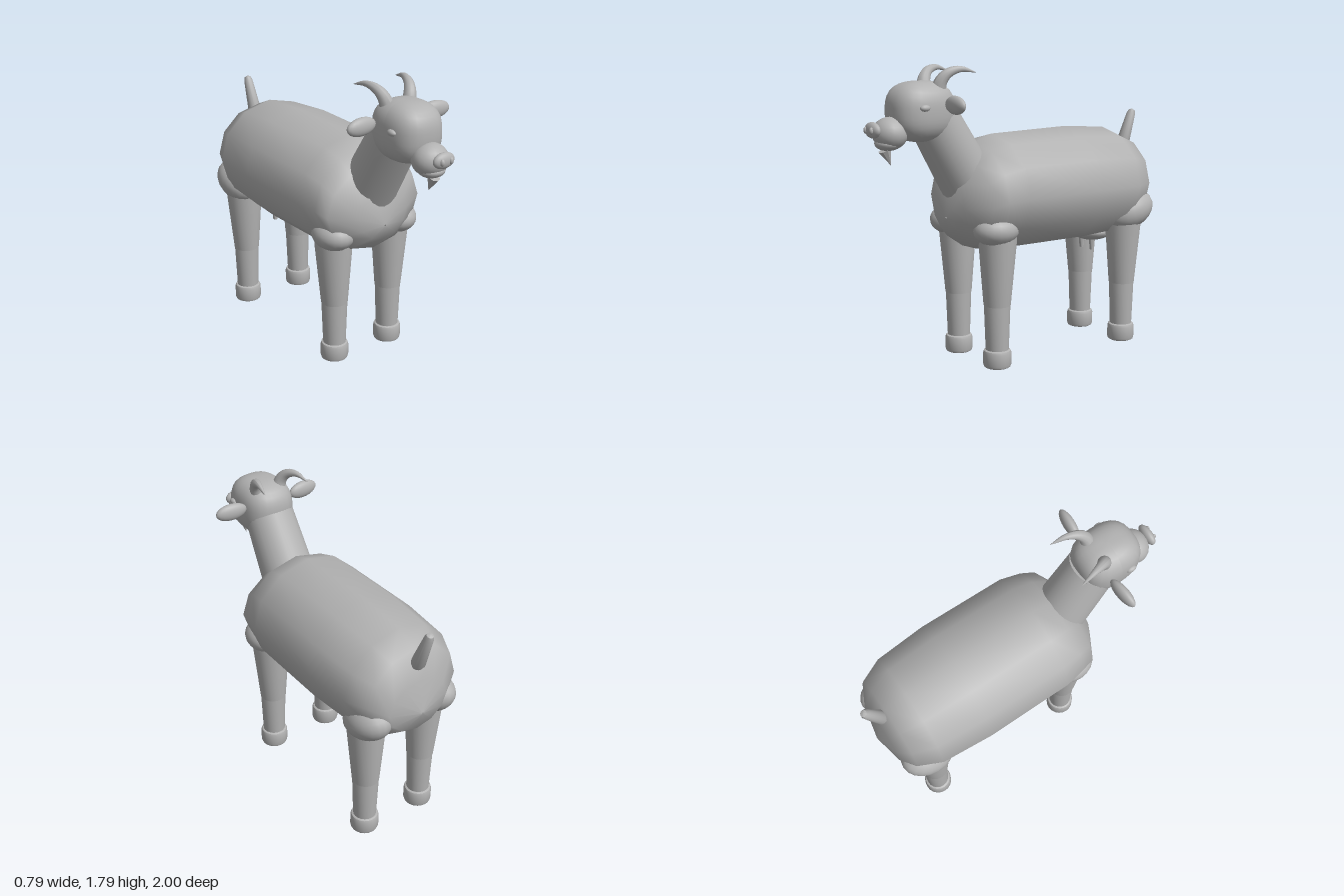
import * as THREE from 'three';
import { toCreasedNormals } from 'three/addons/utils/BufferGeometryUtils.js';

const coat = new THREE.MeshStandardMaterial({ color: 0xb2b2b2 });
coat.name = 'grey coat';

const V = (x, y, z) => new THREE.Vector3(x, y, z);

function add(parent, name, geometry, position) {
  const mesh = new THREE.Mesh(geometry, coat);
  mesh.name = name;
  if (position) mesh.position.copy(position);
  parent.add(mesh);
  return mesh;
}

function ellipsoid(parent, name, centre, radii, w = 20, h = 14) {
  const geo = new THREE.SphereGeometry(1, w, h);
  geo.scale(...radii);
  return add(parent, name, geo, centre);
}

// Turned shape standing on a point and pointing at another; profile is [radius, fraction of length]
function turned(parent, name, from, to, profile, sides = 20) {
  const axis = to.clone().sub(from);
  const length = axis.length();
  const pts = profile.map(([r, t]) => new THREE.Vector2(r, t * length));
  const geo = toCreasedNormals(new THREE.LatheGeometry(pts, sides), 0.7);
  const mesh = add(parent, name, geo, from);
  mesh.quaternion.setFromUnitVectors(V(0, 1, 0), axis.normalize());
  return mesh;
}

// Rings of equal point count, joined from front to back (or base to tip)
function loft(rings) {
  const n = rings[0].length, index = [];
  for (let i = 0; i < rings.length - 1; i++) {
    for (let k = 0; k < n; k++) {
      const a = i * n + k, b = i * n + (k + 1) % n;
      index.push(a, a + n, b, b, a + n, b + n);
    }
  }
  const geo = new THREE.BufferGeometry().setFromPoints(rings.flat());
  geo.setIndex(index);
  geo.computeVertexNormals();
  return geo;
}

function bodyGeometry() {
  // z, centre y, half width, half height
  const sections = [
    [0.48, 0.90, 0.005, 0.005], [0.465, 0.97, 0.17, 0.16], [0.37, 0.985, 0.335, 0.265],
    [0.28, 1.01, 0.362, 0.32], [0.15, 1.022, 0.39, 0.352], [-0.4, 1.025, 0.395, 0.36],
    [-0.72, 1.02, 0.37, 0.342], [-0.86, 1.02, 0.305, 0.28], [-0.92, 0.955, 0.2, 0.165],
    [-0.96, 0.92, 0.005, 0.005],
  ];
  return loft(sections.map(([z, cy, rx, ry]) => Array.from({ length: 12 }, (_, k) => {
    const a = k * Math.PI / 6;
    return V(Math.cos(a) * rx, cy + Math.sin(a) * ry, z);
  })));
}

// Ball pushed outwards into a soft box
function headGeometry() {
  const geo = new THREE.SphereGeometry(1, 28, 20);
  const p = geo.attributes.position, v = V(0, 0, 0);
  const e = 2.7;
  for (let i = 0; i < p.count; i++) {
    v.fromBufferAttribute(p, i);
    const s = (Math.abs(v.x) ** e + Math.abs(v.y) ** e + Math.abs(v.z) ** e) ** (-1 / e);
    v.multiplyScalar(s);
    p.setXYZ(i, v.x * 0.165, v.y * 0.173, v.z * 0.195);
  }
  geo.computeVertexNormals();
  return geo;
}

// Horn: tube whose radius shrinks towards the tip
function hornGeometry(side) {
  const curve = new THREE.CatmullRomCurve3([
    V(0.072, 1.64, 0.575), V(0.09, 1.705, 0.565), V(0.11, 1.75, 0.53),
    V(0.132, 1.772, 0.46), V(0.15, 1.752, 0.365),
  ].map((q) => q.setX(q.x * side)));
  const segs = 16, sides = 12;
  const geo = new THREE.TubeGeometry(curve, segs, 1, sides);
  const p = geo.attributes.position, v = V(0, 0, 0);
  for (let i = 0; i < p.count; i++) {
    const t = Math.floor(i / (sides + 1)) / segs;
    const c = curve.getPointAt(t);
    v.fromBufferAttribute(p, i).sub(c).multiplyScalar(0.045 * (1 - t) ** 0.85 + 0.001).add(c);
    p.setXYZ(i, v.x, v.y, v.z);
  }
  geo.computeVertexNormals();
  return geo;
}

function addLeg(parent, name, side, z) {
  const leg = new THREE.Group();
  leg.name = name;
  parent.add(leg);
  const x = 0.205 * side;
  turned(leg, 'hoof', V(x, 0, z), V(x, 0.11, z),
    [[0, 0], [0.07, 0], [0.08, 0.05], [0.085, 0.18], [0.085, 0.82], [0.08, 0.95], [0.07, 1], [0, 1]]);
  turned(leg, 'shin', V(x, 0.1, z), V(x, 0.385, z), [[0.069, 0], [0.079, 1]]);
  turned(leg, 'upperLeg', V(x, 0.38, z), V(x + 0.007 * side, 0.83, z),
    [[0, 0], [0.081, 0], [0.113, 0.84], [0.113, 1], [0, 1]]);
}

export function createModel() {
  const goat = new THREE.Group();
  goat.name = 'goat';

  add(goat, 'body', bodyGeometry());
  turned(goat, 'neck', V(0, 1.04, 0.29), V(0, 1.49, 0.565), [[0, 0], [0.17, 0], [0.15, 1], [0, 1]], 24);

  // Head and face
  const head = new THREE.Group();
  head.name = 'head';
  goat.add(head);
  add(head, 'skull', headGeometry(), V(0, 1.535, 0.65));
  ellipsoid(head, 'muzzle', V(0, 1.42, 0.85), [0.108, 0.094, 0.1]);
  ellipsoid(head, 'lowerLip', V(0, 1.365, 0.865), [0.08, 0.042, 0.075]);
  ellipsoid(head, 'nose', V(0, 1.445, 0.96), [0.072, 0.046, 0.031]);
  const beard = turned(head, 'beard', V(0, 1.33, 0.885), V(0, 1.24, 0.847),
    [[0, 0], [0.04, 0], [0.001, 1]], 8);
  beard.scale.x = 0.85;

  for (const side of [1, -1]) {
    const s = side > 0 ? 'left' : 'right';
    ellipsoid(head, s + 'Nostril', V(0.031 * side, 1.445, 0.984), [0.014, 0.021, 0.015], 12, 8);
    ellipsoid(head, s + 'Eye', V(0.16 * side, 1.565, 0.715), [0.02, 0.019, 0.032], 14, 10);
    const ear = ellipsoid(head, s + 'Ear', V(0.26 * side, 1.582, 0.58), [0.102, 0.053, 0.034]);
    ear.rotation.y = -0.08 * side;
    add(head, s + 'Horn', hornGeometry(side));

    // Legs with shoulders and haunches
    addLeg(goat, s + 'FrontLeg', side, 0.26);
    addLeg(goat, s + 'HindLeg', side, -0.725);
    ellipsoid(goat, s + 'Shoulder', V(0.232 * side, 0.84, 0.285), [0.122, 0.095, 0.143]);
    const haunch = ellipsoid(goat, s + 'Haunch', V(0.23 * side, 0.85, -0.76), [0.125, 0.115, 0.172]);
    haunch.rotation.x = 0.35;

    turned(goat, s + 'Teat', V(0.051 * side, 0.58, -0.605), V(0.051 * side, 0.67, -0.605),
      [[0, 0], [0.014, 0], [0.022, 1]], 12);
  }

  ellipsoid(goat, 'udder', V(0, 0.695, -0.64), [0.14, 0.06, 0.13]);
  turned(goat, 'tail', V(0, 1.2, -0.885), V(0, 1.463, -0.982),
    [[0, 0], [0.032, 0.02], [0.043, 0.12], [0.028, 0.88], [0.02, 0.97], [0, 1]], 16);

  return goat;
}
